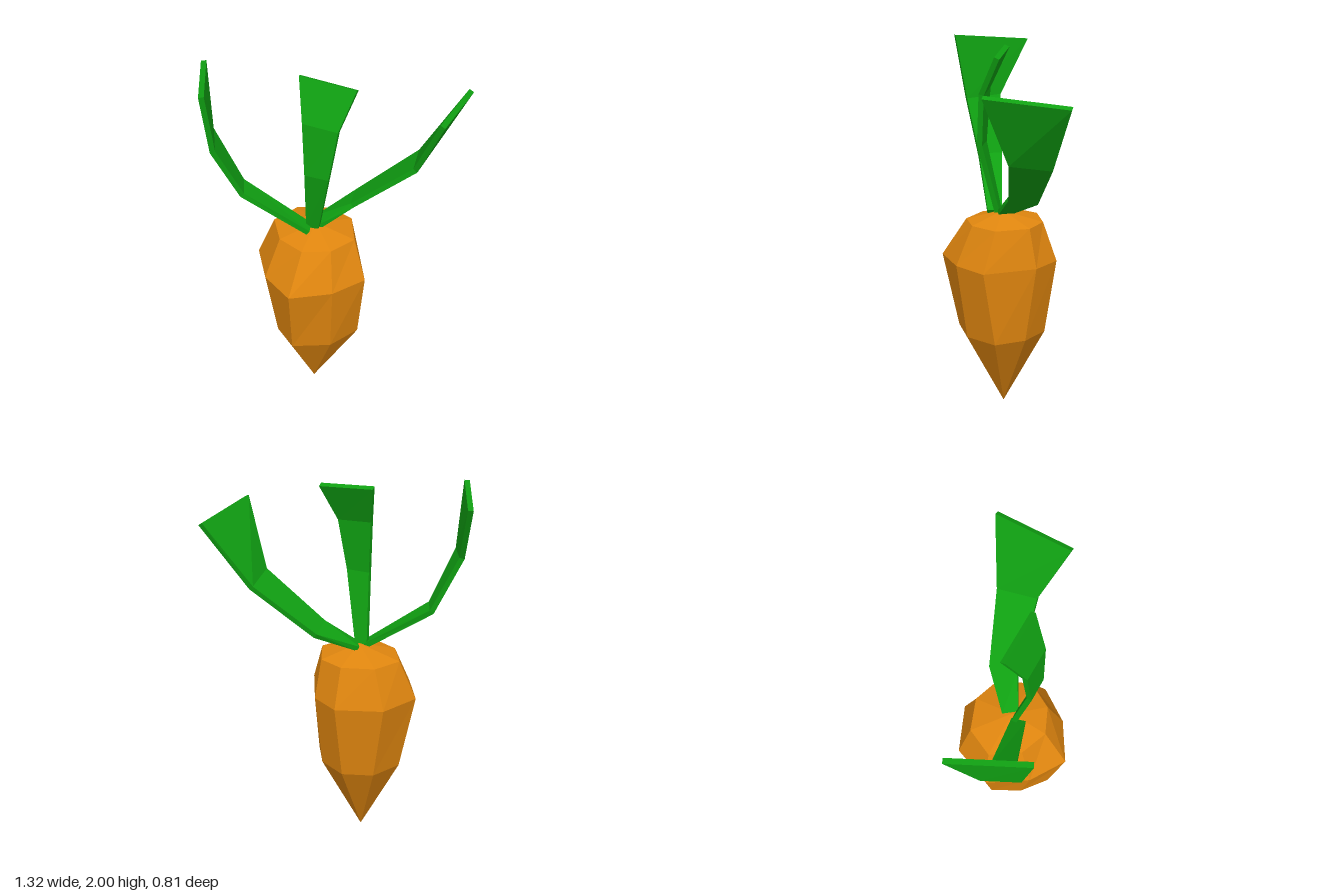
import * as THREE from 'three';

// Joins rings of corner points into a closed faceted solid, ending in a point at each end
function loft(rings, startTip, endTip) {
  const pos = [];
  const tri = (...pts) => pts.forEach((p) => pos.push(p.x, p.y, p.z));
  const n = rings[0].length;
  const last = rings.length - 1;
  for (let i = 0; i < n; i++) {
    const j = (i + 1) % n;
    for (let k = 0; k < last; k++) {
      const r = rings[k], s = rings[k + 1];
      tri(r[i], r[j], s[j]);
      tri(r[i], s[j], s[i]);
    }
    tri(startTip, rings[0][j], rings[0][i]);
    tri(endTip, rings[last][i], rings[last][j]);
  }
  const geo = new THREE.BufferGeometry();
  geo.setAttribute('position', new THREE.Float32BufferAttribute(pos, 3));
  geo.computeVertexNormals();
  return geo;
}

const vec = (p) => new THREE.Vector3(...p);
const middle = (ring) => ring.reduce((s, p) => s.add(p), new THREE.Vector3()).divideScalar(ring.length);

// Thin bent blade: each section is its pair of edge points
function leafGeometry(sections, half = 0.014) {
  const edges = sections.map(([a, b]) => [vec(a), vec(b)]);
  const mids = edges.map(middle);
  const rings = edges.map(([a, b], i) => {
    const along = mids[Math.min(i + 1, mids.length - 1)].clone().sub(mids[Math.max(i - 1, 0)]);
    const n = b.clone().sub(a).cross(along).normalize().multiplyScalar(half);
    return [a.clone().add(n), b.clone().add(n), b.clone().sub(n), a.clone().sub(n)];
  });
  return loft(rings, middle(rings[0]), middle(rings[rings.length - 1]));
}

export function createModel() {
  const group = new THREE.Group();
  const orange = new THREE.MeshStandardMaterial({ color: 0xe0860f, flatShading: true });
  orange.name = 'root orange';
  const green = new THREE.MeshStandardMaterial({ color: 0x10a012, flatShading: true });
  green.name = 'leaf green';

  const add = (name, geo, mat) => {
    const mesh = new THREE.Mesh(geo, mat);
    mesh.name = name;
    group.add(mesh);
  };

  // Root: three uneven eight-sided rings as [x, z], each at its height
  const rootRings = [
    [0.43, [[-0.07, 0.305], [0.12, 0.22], [0.215, 0.05], [0.12, -0.1],
      [-0.04, -0.18], [-0.2, -0.12], [-0.275, 0.05], [-0.2, 0.2]]],
    [0.845, [[-0.05, 0.39], [0.15, 0.27], [0.27, 0.1], [0.13, -0.16],
      [-0.03, -0.245], [-0.27, -0.15], [-0.36, 0.07], [-0.235, 0.27]]],
    [1.06, [[-0.03, 0.25], [0.11, 0.19], [0.19, 0.05], [0.11, -0.12],
      [-0.03, -0.17], [-0.2, -0.11], [-0.275, 0.04], [-0.18, 0.19]]],
  ].map(([y, ring]) => ring.map(([x, z]) => new THREE.Vector3(x, y, z)));
  add('root', loft(rootRings, vec([-0.045, 0, 0.05]), vec([-0.03, 1.115, 0.05])), orange);

  // Leaves, from the crown outwards
  add('middleLeaf', leafGeometry([
    [[-0.07, 1.1, 0.075], [0, 1.11, 0.075]],
    [[-0.045, 1.49, 0.152], [0.085, 1.49, 0.152]],
    [[-0.063, 1.78, 0.133], [0.128, 1.77, 0.133]],
    [[-0.115, 1.99, 0.04], [0.19, 1.97, 0.04]],
  ]), green);
  add('rightLeaf', leafGeometry([
    [[-0.06, 1.1, 0.06], [-0.04, 1.1, 0.135]],
    [[-0.415, 1.335, 0.125], [-0.36, 1.335, 0.245]],
    [[-0.56, 1.645, 0.16], [-0.47, 1.63, 0.335]],
    [[-0.65, 1.95, 0.02], [-0.48, 1.985, 0.4]],
  ]), green);
  add('leftLeaf', leafGeometry([
    [[-0.05, 1.105, 0], [0, 1.11, 0.07]],
    [[0.12, 1.21, -0.165], [0.15, 1.23, -0.013]],
    [[0.43, 1.47, -0.285], [0.468, 1.495, -0.07]],
    [[0.645, 1.82, -0.405], [0.625, 1.855, 0.03]],
  ]), green);

  return group;
}
